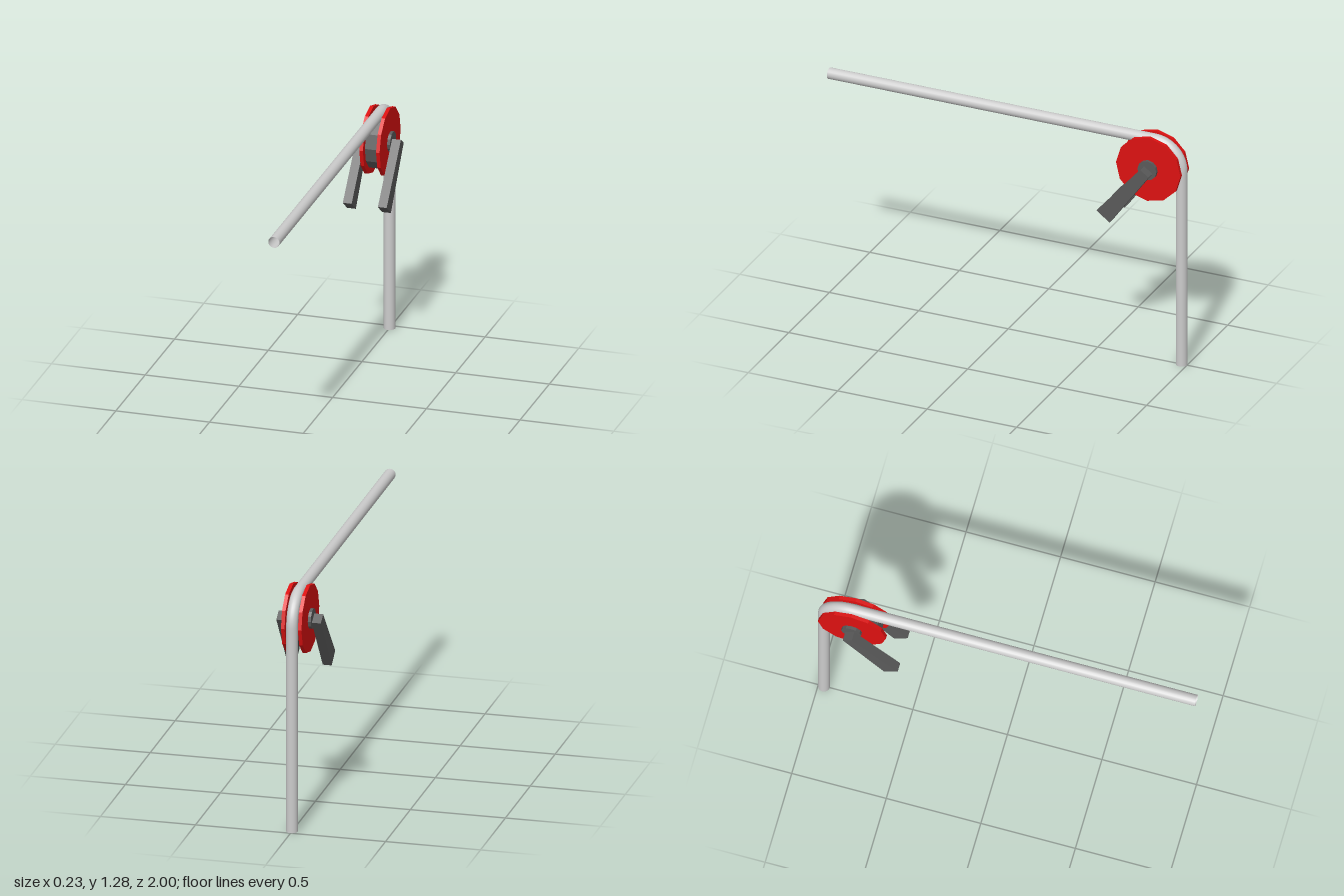
import * as THREE from 'three';

const ROPE_R = 0.03, AXIS_Y = 1.1, AXIS_Z = -0.807;

export function createModel() {
  const group = new THREE.Group();
  const grey = new THREE.MeshStandardMaterial({ color: 0xcccccc, side: THREE.DoubleSide });
  const red = new THREE.MeshStandardMaterial({ color: 0xdd1111, flatShading: true });
  const dark = new THREE.MeshStandardMaterial({ color: 0x5a5a5a, flatShading: true });

  const add = (name, geometry, material) => {
    const mesh = new THREE.Mesh(geometry, material);
    mesh.name = name;
    group.add(mesh);
    return mesh;
  };

  // Faceted cylinder lying along x, centred on the wheel axis
  const addDisc = (name, radius, x0, x1, material) => {
    const geometry = new THREE.CylinderGeometry(radius, radius, x1 - x0, 12);
    geometry.rotateZ(Math.PI / 2).rotateX(-0.03);
    add(name, geometry, material).position.set((x0 + x1) / 2, AXIS_Y, AXIS_Z);
  };

  // Rope: horizontal run, quarter turn over the wheel, vertical drop
  const v = (y, z) => new THREE.Vector3(0, y, z);
  const bendR = 0.15, bendY = 1.1, bendZ = -0.82;
  const path = new THREE.CurvePath();
  const bend = [];
  for (let i = 0; i <= 16; i++) {
    const a = (i / 16) * Math.PI / 2;
    bend.push(v(bendY + bendR * Math.cos(a), bendZ - bendR * Math.sin(a)));
  }
  path.add(new THREE.LineCurve3(v(bendY + bendR, 1), bend[0]));
  path.add(new THREE.CatmullRomCurve3(bend));
  path.add(new THREE.LineCurve3(bend[16], v(0, bendZ - bendR)));
  add('rope', new THREE.TubeGeometry(path, 180, ROPE_R, 20), grey);

  // Wheel core and the axle through it
  addDisc('wheelCore', 0.147, -0.036, 0.036, dark);
  addDisc('axle', 0.053, -0.07, 0.07, dark);

  // Tapered arm outline, drawn with shape x = -z
  const arm = new THREE.Shape([
    [0.79, 1.122], [0.547, 0.842], [0.619, 0.786], [0.838, 1.088],
  ].map(([x, y]) => new THREE.Vector2(x, y)));

  // Red cheek and support arm on each side
  for (const [side, s] of [['left', 1], ['right', -1]]) {
    const mid = s * 0.0445;
    addDisc(side + 'Cheek', 0.18, mid - 0.0095, mid + 0.0095, red);
    const geometry = new THREE.ExtrudeGeometry(arm, { depth: 0.047, bevelEnabled: false });
    geometry.rotateY(Math.PI / 2);
    add(side + 'Arm', geometry, dark).position.x = s > 0 ? 0.07 : -0.117;
  }
  return group;
}
